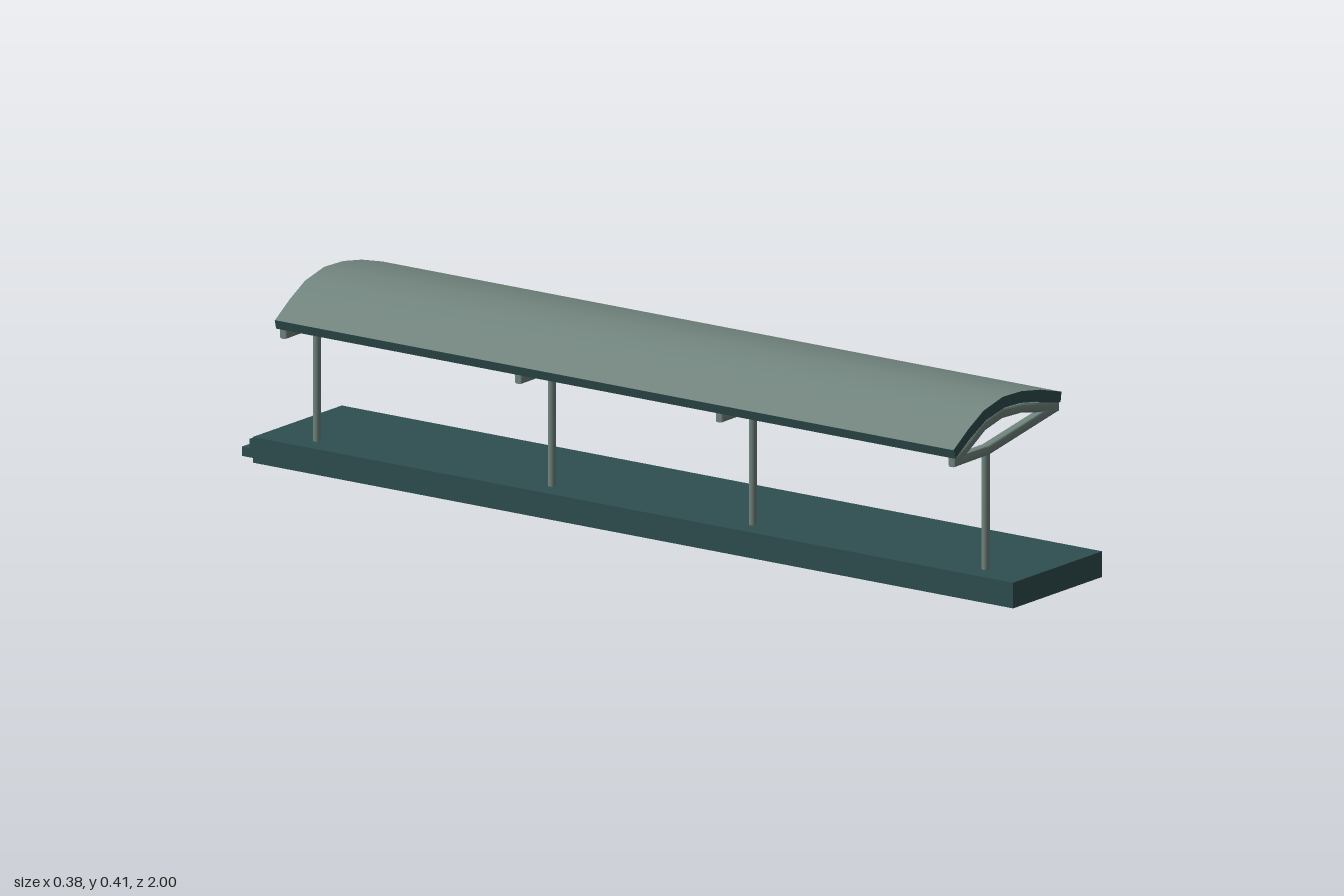
import * as THREE from 'three';
import { toCreasedNormals } from 'three/addons/utils/BufferGeometryUtils.js';

export function createModel() {
  const group = new THREE.Group();
  const steel = new THREE.MeshStandardMaterial({ color: 0x71847d });
  steel.name = 'greyGreenSteel';
  const teal = new THREE.MeshStandardMaterial({ color: 0x2f4f50 });
  teal.name = 'darkTeal';

  const add = (name, geometry, material, x = 0, y = 0, z = 0, parent = group) => {
    const mesh = new THREE.Mesh(geometry, material);
    mesh.name = name;
    mesh.position.set(x, y, z);
    parent.add(mesh);
    return mesh;
  };
  // box given by its limits on each axis
  const block = (name, material, x0, x1, y0, y1, z0, z1) =>
    add(name, new THREE.BoxGeometry(x1 - x0, y1 - y0, z1 - z0), material,
      (x0 + x1) / 2, (y0 + y1) / 2, (z0 + z1) / 2);
  const outline = (pts) => new THREE.Shape(pts.map(([x, y]) => new THREE.Vector2(x, y)));

  // platform with two steps at the back
  block('platform', teal, -0.12, 0.19, 0, 0.055, -0.95, 1);
  block('upperStep', teal, -0.09, 0.167, 0, 0.04, -0.98, -0.95);
  block('lowerStep', teal, -0.09, 0.167, 0, 0.02, -1, -0.95);

  // arched roof
  const roofTop = [[-0.192, 0.338], [-0.14, 0.372], [-0.087, 0.4], [-0.02, 0.415],
    [0.045, 0.413], [0.11, 0.402], [0.183, 0.382]];
  const roofUnder = [[-0.187, 0.319], [-0.135, 0.35], [-0.08, 0.378], [-0.015, 0.391],
    [0.04, 0.389], [0.105, 0.378], [0.18, 0.361]];
  const roofShape = outline([...roofUnder, ...roofTop.slice().reverse()]);
  const roofGeo = new THREE.ExtrudeGeometry(roofShape, { depth: 1.74, bevelEnabled: false });
  add('roof', toCreasedNormals(roofGeo, 0.6), steel, 0, 0, -0.84);
  add('roofFrontFascia', new THREE.ShapeGeometry(roofShape), teal, 0, 0, 0.901);

  // dark trim along the low eave
  const trim = outline([[-0.193, 0.338], [-0.188, 0.319], [-0.187, 0.319], [-0.192, 0.338]]);
  add('eaveTrim', new THREE.ExtrudeGeometry(trim, { depth: 1.74, bevelEnabled: false }), teal, 0, 0, -0.84);

  // dark corner plate under the front of the high eave
  const plate = outline([[0.105, 0.376], [0.178, 0.3595], [0.178, 0.3615], [0.105, 0.378]]);
  add('cornerPlate', new THREE.ExtrudeGeometry(plate, { depth: 0.12, bevelEnabled: false }), teal, 0, 0, 0.78);

  // rounded beam following a bent centre line
  const beamGeometry = (pts) => {
    const half = 0.006;
    const shape = outline([...pts.map(([x, y]) => [x, y - half]),
      ...pts.slice().reverse().map(([x, y]) => [x, y + half])]);
    const geo = new THREE.ExtrudeGeometry(shape, {
      depth: 0.01, bevelThickness: 0.005, bevelSize: 0.005, bevelSegments: 2,
    });
    geo.translate(0, 0, -0.005);
    return toCreasedNormals(geo, 0.8);
  };
  const archGeo = beamGeometry([[-0.175, 0.313], [-0.135, 0.335], [-0.08, 0.366],
    [-0.02, 0.379], [0.05, 0.376], [0.1, 0.366], [0.174, 0.352]]);
  const braceGeo = beamGeometry([[-0.18, 0.31], [-0.065, 0.311], [0.174, 0.352]]);
  const postGeo = new THREE.CylinderGeometry(0.0085, 0.0085, 0.255, 12);

  // four supporting frames
  [0.89, 0.293, -0.222, -0.825].forEach((z, i) => {
    const frame = new THREE.Group();
    frame.name = `supportFrame${i + 1}`;
    frame.position.z = z;
    add('post', postGeo, steel, -0.066, 0.18, 0, frame);
    add('archBeam', archGeo, steel, 0, 0, 0, frame);
    add('braceBeam', braceGeo, steel, 0, 0, 0, frame);
    group.add(frame);
  });

  // thin purlins under the roof
  block('lowPurlin', steel, -0.114, -0.106, 0.356, 0.368, -0.65, 0.8);
  block('highPurlin', steel, 0.093, 0.101, 0.375, 0.385, -0.65, 0.8);

  return group;
}
